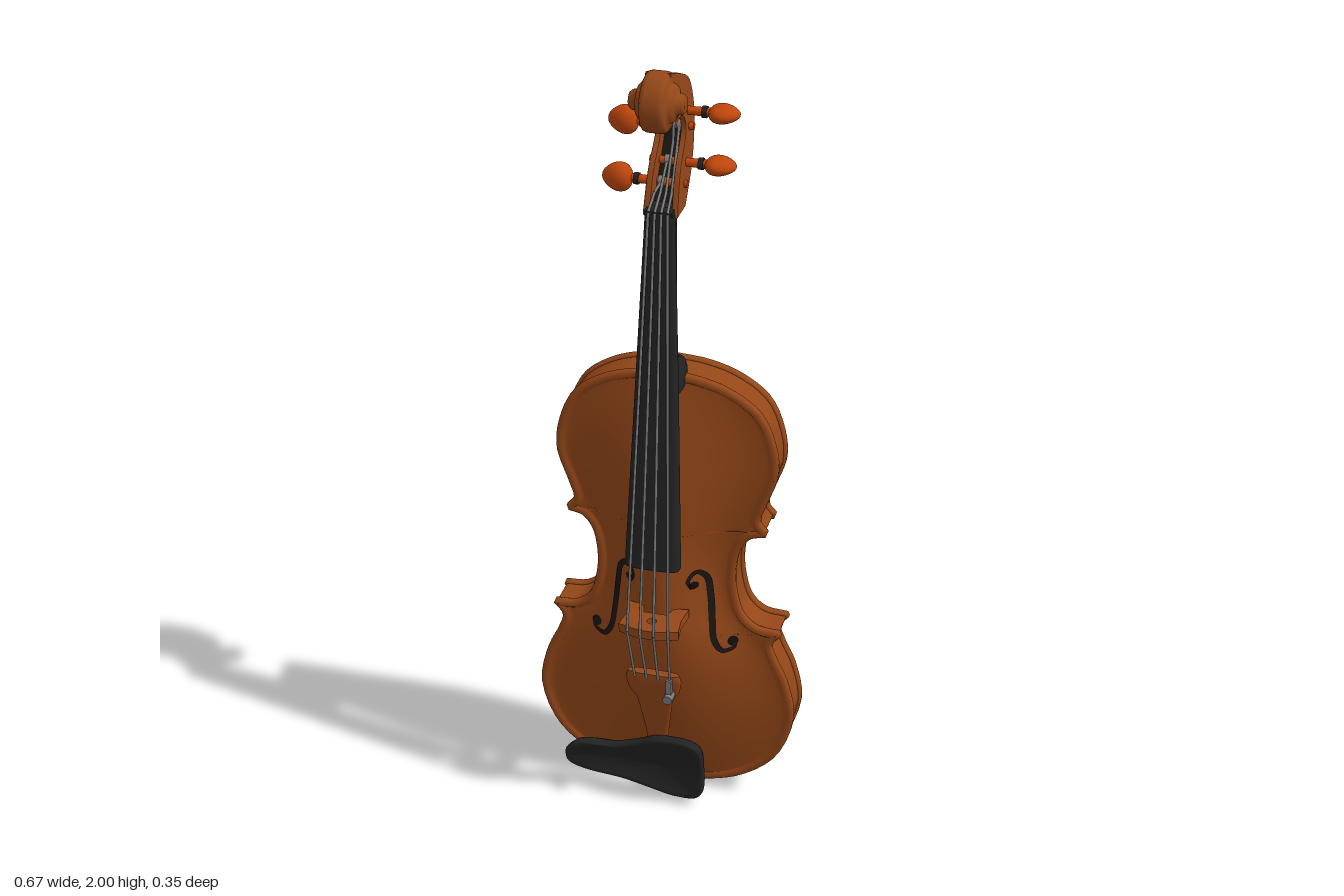
import * as THREE from 'three';

const mat = (name, color, extra = {}) => {
  const m = new THREE.MeshStandardMaterial({ color, ...extra });
  m.name = name;
  return m;
};
const V = (x, y, z = 0) => new THREE.Vector3(x, y, z);
const spline = (pts, n, closed = false) =>
  new THREE.CatmullRomCurve3(pts.map(p => V(...p)), closed).getPoints(n);

// Surface through a list of closed rings with equal point counts
function loft(rings) {
  const n = rings[0].length, pos = [], idx = [];
  rings.forEach(r => r.forEach(p => pos.push(p.x, p.y, p.z)));
  for (let j = 0; j < rings.length - 1; j++) for (let i = 0; i < n; i++) {
    const k = (i + 1) % n, a = j * n + i, b = j * n + k;
    idx.push(a, b, b + n, a, b + n, a + n);
  }
  const g = new THREE.BufferGeometry();
  g.setAttribute('position', new THREE.Float32BufferAttribute(pos, 3));
  g.setIndex(idx);
  g.computeVertexNormals();
  return g;
}

// Bar along y: stations of [y, half width, back z, front z], with flat ends
function bar(stations, e, mid = 0.5) {
  const pw = v => Math.sign(v) * Math.abs(v) ** e;
  const rings = stations.map(([y, hw, zb, zf]) => Array.from({ length: 28 }, (_, i) => {
    const a = i / 28 * Math.PI * 2, zm = zb + (zf - zb) * mid, c = pw(Math.cos(a));
    return V(hw * pw(Math.sin(a)), y, zm + c * (c > 0 ? zf - zm : zm - zb));
  }));
  const cap = (r, [y, , zb, zf]) => r.map(() => V(0, y, (zb + zf) / 2));
  const first = rings[0], last = rings.at(-1);
  return loft([cap(first, stations[0]), first, ...rings, last, cap(last, stations.at(-1))]);
}

// Body outline, right half from bottom to top, then mirrored
const lower = [[0, .01], [.1, .018], [.2, .05], [.29, .125], [.335, .25], [.316, .36], [.285, .43]];
const waist = [[.2, .55], [.182, .61], [.178, .67], [.19, .74]];
const upper = [[.25, .87], [.279, .96], [.272, 1.04], [.235, 1.125], [.16, 1.18], [.08, 1.205], [0, 1.212]];
const half = [
  [...lower, [.274, .47], [.297, .5]],
  [[.293, .511], [.235, .518], ...waist, [.215, .775], [.252, .785]],
  [[.257, .8], [.238, .825], ...upper],
].flatMap(p => spline(p, 30));
const outline = [...half, ...half.slice(1, -1).reverse().map(p => V(-p.x, p.y))];
const normals = outline.map((_, i) => {
  const n = outline.length, a = outline[(i + n - 1) % n], b = outline[(i + 1) % n];
  return V(b.y - a.y, a.x - b.x).normalize();
});

// Arching from 0 at the rim to 1 at the crown; it runs past the corners in one sweep
const sweep = spline([...lower, ...waist, ...upper], 120);
function swell(x, y) {
  const i = Math.max(1, sweep.findIndex(p => p.y >= y)), a = sweep[i - 1], b = sweep[i];
  const w = Math.max(.01, a.x + (b.x - a.x) * (y - a.y) / (b.y - a.y) - .02);
  const t = Math.max(0, 1 - Math.abs(x) / w), u = Math.min(1, Math.max(0, (y - .03) / 1.162));
  return Math.sin(Math.PI * u) ** .9 * t * t * (3 - 2 * t);
}
const FRONT = -.016, BACK = -.119, RISE = .086;
const frontZ = (x, y) => FRONT + RISE * swell(x, y);
const bodyRing = (d, z, t = 0, rise = 0) => outline.map((p, i) => {
  const x = (p.x - normals[i].x * d) * (1 - t), y = p.y - normals[i].y * d;
  return V(x, y, z + (rise && rise * swell(x, y)));
});

function bodyGeometry() {
  const steps = Array.from({ length: 25 }, (_, i) => i / 24), D = .02, R = .007;
  return loft([
    ...steps.map(t => bodyRing(D, BACK, 1 - t, -.056)),
    bodyRing(.016, -.124), bodyRing(.006, -.124), bodyRing(0, -.119), bodyRing(0, -.108),
    bodyRing(.003, -.103), bodyRing(R, -.103), bodyRing(R, -.103),
    bodyRing(R, -.033), bodyRing(R, -.033), bodyRing(.003, -.033), bodyRing(0, -.028), bodyRing(0, -.016),
    bodyRing(.006, -.011), bodyRing(.016, -.011),
    ...steps.map(t => bodyRing(D, FRONT, t, RISE)),
  ]);
}

// Curved sound hole laid on the front plate, with a round eye at each end
function soundHole(s, material) {
  const pts = spline([[.078, .635], [.07, .66], [.088, .683], [.11, .665], [.12, .61], [.126, .54],
    [.135, .48], [.155, .453], [.182, .462], [.184, .488]], 50);
  const pos = [], idx = [];
  pts.forEach((p, i) => {
    const a = pts[Math.max(0, i - 1)], b = pts[Math.min(50, i + 1)];
    const n = V(b.y - a.y, a.x - b.x).normalize(), w = .003 + .005 * Math.sin(Math.PI * i / 50);
    for (const k of [-w, w]) {
      const x = s * (p.x + n.x * k), y = p.y + n.y * k;
      pos.push(x, y, frontZ(x, y) + .004);
    }
    if (i) idx.push(2 * i - 2, 2 * i - 1, 2 * i, 2 * i - 1, 2 * i + 1, 2 * i);
  });
  const g = new THREE.BufferGeometry();
  g.setAttribute('position', new THREE.Float32BufferAttribute(pos, 3));
  g.setIndex(idx);
  g.computeVertexNormals();
  const group = new THREE.Group();
  group.name = 'soundHole';
  group.add(new THREE.Mesh(g, material));
  for (const [x, y, r] of [[.083, .645, .01], [.178, .478, .013]]) {
    const c = new THREE.CircleGeometry(r, 16).translate(s * x, y, 0), q = c.attributes.position;
    for (let i = 0; i < q.count; i++) q.setZ(i, frontZ(q.getX(i), q.getY(i)) + .004);
    group.add(new THREE.Mesh(c, material));
  }
  return group;
}

// Side profile (z, y) extruded across x and narrowed toward the top
function headSlab(pts, x, depth, bevel = 0) {
  const g = new THREE.ExtrudeGeometry(new THREE.Shape(pts.map(p => new THREE.Vector2(p.x, p.y))),
    { depth, bevelEnabled: bevel > 0, bevelSize: bevel, bevelThickness: bevel, bevelSegments: 2 });
  g.rotateY(-Math.PI / 2).translate(x + depth / 2, 0, 0);
  const q = g.attributes.position;
  for (let i = 0; i < q.count; i++) q.setX(i, q.getX(i) * (1.12 - (q.getY(i) - 1.66) * .9));
  g.computeVertexNormals();
  return g;
}

export function createModel() {
  const model = new THREE.Group();
  model.name = 'violin';
  const wood = mat('varnished wood', 0x944718), orange = mat('peg orange', 0xbf460c);
  const ebony = mat('ebony', 0x232323), steel = mat('string grey', 0x7a7a7a);
  const dark = mat('dark opening', 0x1a1614, { side: THREE.DoubleSide });
  const add = (name, g, m, parent = model) => {
    const mesh = new THREE.Mesh(g, m);
    mesh.name = name;
    parent.add(mesh);
  };

  add('body', bodyGeometry(), wood);
  for (const s of [-1, 1]) model.add(soundHole(s, dark));

  // Neck with heel, fingerboard and nut
  add('neck', bar([[1.185, .048, -.1, .06], [1.21, .048, -.1, .06], [1.225, .046, -.09, .06], [1.24, .042, -.06, .058],
    [1.26, .038, -.032, .055], [1.3, .036, -.016, .055], [1.4, .035, -.012, .045], [1.66, .033, -.015, .032]], .8, .7), ebony);
  add('fingerboard', bar([[.74, .069, .082, .132], [1.2, .052, .046, .093], [1.65, .035, .022, .054]], .55), ebony);
  add('nut', new THREE.BoxGeometry(.066, .012, .03).translate(0, 1.656, .04), ebony);

  // Pegbox: two cheeks, floor and dark lining
  const back = spline([[-.03, 1.645], [-.1, 1.725], [-.13, 1.815], [-.13, 1.855], [-.1, 1.925], [-.03, 1.965], [.05, 1.995]], 30);
  const cheekEdge = spline([[.06, 1.9], [.015, 1.873], [-.03, 1.87], [-.058, 1.84], [-.056, 1.81], [0, 1.74], [.035, 1.645]], 30);
  const floorEdge = spline([[.06, 1.9], [.015, 1.873], [-.03, 1.87], [-.085, 1.845], [-.095, 1.81], [-.06, 1.74], [0, 1.645]], 30);
  for (const s of [-1, 1]) add('pegboxCheek', headSlab([...back, ...cheekEdge], s * .03, .008, .003), wood);
  add('pegboxFloor', headSlab([...back, ...floorEdge], 0, .056), wood);
  const lining = floorEdge.slice(10);
  add('pegboxLining', headSlab([...lining, ...lining.map(p => V(p.x + .005, p.y)).reverse()], 0, .05), dark);

  // Scroll: stepped volute turned about the x axis
  const side = [[0, .065], [.017, .065], [.023, .059], [.025, .047], [.037, .044], [.044, .037], [.046, .031],
    [.06, .029], [.067, .025], [.07, .016]];
  const profile = [...side.map(([r, h]) => new THREE.Vector2(r, -h)),
    ...side.map(([r, h]) => new THREE.Vector2(r, h)).reverse()];
  add('scroll', new THREE.LatheGeometry(profile, 40).rotateZ(Math.PI / 2).translate(0, 1.93, .055), wood);

  // Tuning pegs: heads alternate sides
  const pegs = [[-1, 1.7, -.03], [1, 1.745, -.05], [1, 1.86, -.08], [-1, 1.82, -.085]];
  pegs.forEach(([s, y, z], i) => {
    const peg = new THREE.Group();
    peg.name = 'tuningPeg';
    peg.position.set(0, y, z);
    add('shaft', new THREE.CylinderGeometry(.011, .009, .145, 16).rotateZ(-s * Math.PI / 2).translate(s * .025, 0, 0), orange, peg);
    add('collar', new THREE.CylinderGeometry(.014, .014, .012, 16).rotateZ(Math.PI / 2).translate(s * .074, 0, 0), ebony, peg);
    add('stringWinding', new THREE.CylinderGeometry(.014, .014, .012, 14).rotateZ(Math.PI / 2).translate((i - 1.5) * .01, 0, 0), steel, peg);
    const head = new THREE.SphereGeometry(1, 24, 16), q = head.attributes.position;
    for (let j = 0; j < q.count; j++) {
      const x = q.getX(j), k = 1 - .2 * x * s;
      q.setXYZ(j, x * .037, q.getY(j) * k * (s < 0 ? .035 : .021), q.getZ(j) * k * (s < 0 ? .027 : .037));
    }
    head.computeVertexNormals();
    add('head', head.translate(s * .12, 0, 0), orange, peg);
    model.add(peg);
  });

  // Bridge
  const b = new THREE.Shape([[-.076, .045], [-.038, .055], [-.03, .085], [.03, .085], [.038, .055], [.076, .045], [.07, .1],
    [.076, .15], [.05, .159], [.02, .166], [-.02, .166], [-.05, .159], [-.076, .15], [-.07, .1]].map(p => new THREE.Vector2(...p)));
  b.holes.push(new THREE.Path().absarc(0, .12, .012, 0, Math.PI * 2, true));
  add('bridge', new THREE.ExtrudeGeometry(b, { depth: .024, bevelEnabled: false }).rotateX(Math.PI / 2).translate(0, .584, 0), wood);

  // Tailpiece, its loop, fine tuner and end button
  add('tailpiece', bar([[.07, .018, .028, .045], [.22, .03, .058, .078], [.33, .046, .078, .102], [.365, .066, .084, .112],
    [.4, .072, .088, .12], [.42, .066, .092, .118]], .7), wood);
  add('tailLoop', new THREE.TubeGeometry(new THREE.CatmullRomCurve3([V(0, .09, .035), V(0, .04, .015), V(0, .01, -.005),
    V(0, .008, -.03)]), 16, .006, 8), ebony);
  add('endButton', new THREE.CylinderGeometry(.014, .017, .02, 20).translate(0, .01, -.03), ebony);
  add('fineTuner', new THREE.CylinderGeometry(.012, .012, .05, 14).rotateX(Math.PI / 2).translate(.045, .365, .115), steel);
  add('tunerLever', new THREE.BoxGeometry(.014, .05, .012).translate(.045, .39, .122), steel);

  // Strings from pegs over nut and bridge to the tailpiece
  pegs.forEach(([, y, z], i) => {
    const k = (i - 1.5) / 1.5;
    const p = [V(k * .015, y, z + .013), ...(y > 1.8 ? [V(k * .016, 1.79, -.055)] : []), V(k * .02, 1.69, .012),
      V(k * .023, 1.66, .058), V(k * .052, .572, .169 - .009 * k * k), V(k * .045, .41, .118)];
    for (let j = 0; j < p.length - 1; j++)
      add('string', new THREE.TubeGeometry(new THREE.LineCurve3(p[j], p[j + 1]), 1, .0035, 8), steel);
  });

  // Chin rest: dished pad on a clamp block
  const pad = spline([[-.25, .1], [-.243, .075], [-.2, .055], [-.1, .042], [-.03, .03], [.06, .018], [.115, .03], [.125, .12],
    [.12, .19], [.09, .213], [0, .207], [-.05, .18], [-.12, .152], [-.215, .145]], 72, true).slice(0, -1);
  const padRing = ([s, dz]) => pad.map(p => {
    const x = s * p.x, y = .1 + (p.y - .1) * s;
    return V(x, y, .06 + dz + .25 * Math.max(0, y - .1) + .006 * Math.sin(x * 14));
  });
  add('chinRest', loft([[0, -.022], [.5, -.022], [.85, -.02], [.97, -.012], [1, 0], [.98, .013], [.93, .018], [.8, .014],
    [.5, .006], [0, .003]].map(padRing)), ebony);
  add('chinRestClamp', new THREE.BoxGeometry(.12, .04, .065).translate(.04, .05, .03), ebony);
  return model;
}
